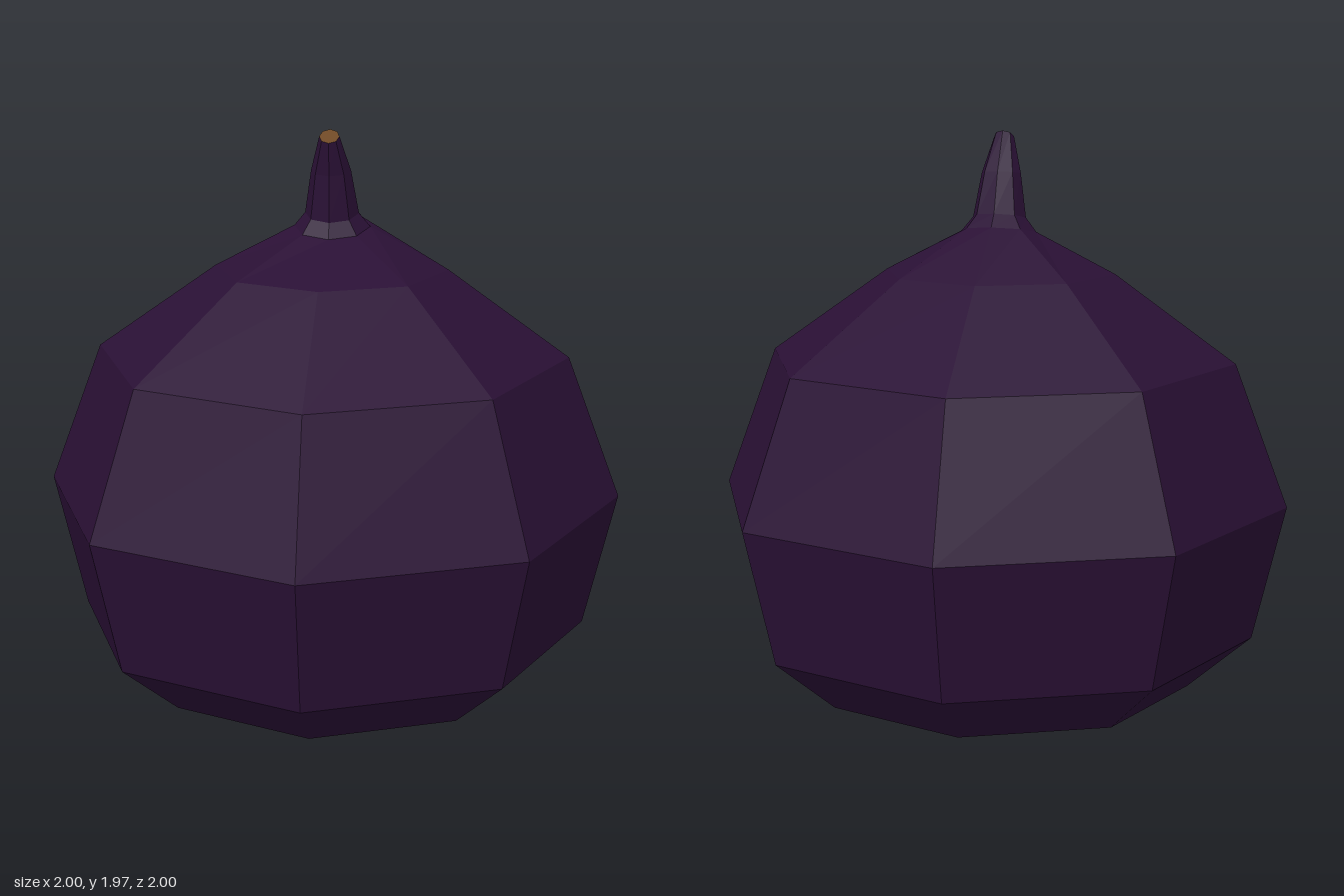
import * as THREE from 'three';

const SIDES = 8;

// Cross-section rings, bottom to top: [radiusX, radiusZ, centre y, centre z, rise towards the back]
const bodyRings = [
  [0.07, 0.07, 0, 0, 0],
  [0.67, 0.67, 0.05, 0, 0],
  [0.89, 0.89, 0.24, 0, 0],
  [1.0, 1.0, 0.71, 0, 0],
  [0.815, 0.815, 1.2, 0, 0],
  [0.4, 0.4, 1.495, 0, 0],
  [0.13, 0.125, 1.635, -0.02, 0.025],
];
const stemRings = [
  bodyRings[bodyRings.length - 1],
  [0.092, 0.09, 1.682, -0.01, 0.02],
  [0.068, 0.062, 1.83, 0.02, 0.01],
  [0.034, 0.026, 1.952, 0.07, 0.02],
];

function ringPoint([rx, rz, y, cz, rise], i) {
  const a = (i / SIDES) * Math.PI * 2;
  return [rx * Math.sin(a), y - rise * Math.cos(a), cz + rz * Math.cos(a)];
}

function makeGeometry(points) {
  const g = new THREE.BufferGeometry();
  g.setAttribute('position', new THREE.Float32BufferAttribute(points.flat(), 3));
  g.computeVertexNormals();
  return g;
}

// Faceted skin between successive rings
function loft(rings) {
  const points = [];
  for (let r = 0; r < rings.length - 1; r++) {
    for (let i = 0; i < SIDES; i++) {
      const a = ringPoint(rings[r], i), b = ringPoint(rings[r], i + 1);
      const c = ringPoint(rings[r + 1], i + 1), d = ringPoint(rings[r + 1], i);
      points.push(a, b, c, a, c, d);
    }
  }
  return makeGeometry(points);
}

// Flat cap closing one ring
function cap(ring, up) {
  const points = [];
  const centre = [0, ring[2], ring[3]];
  for (let i = 0; i < SIDES; i++) {
    const a = ringPoint(ring, i), b = ringPoint(ring, i + 1);
    points.push(centre, ...(up ? [a, b] : [b, a]));
  }
  return makeGeometry(points);
}

export function createModel() {
  const group = new THREE.Group();
  const skin = new THREE.MeshStandardMaterial({ color: 0x2a1035, flatShading: true });
  skin.name = 'dark purple skin';
  const brown = new THREE.MeshStandardMaterial({ color: 0x69400f, flatShading: true });
  brown.name = 'dry brown';

  const add = (name, geometry, material) => {
    const mesh = new THREE.Mesh(geometry, material);
    mesh.name = name;
    group.add(mesh);
  };
  add('fruitBody', loft(bodyRings), skin);
  add('stem', loft(stemRings), skin);
  add('stemTip', cap(stemRings[stemRings.length - 1], true), brown);
  add('blossomEnd', cap(bodyRings[0], false), brown);
  return group;
}
